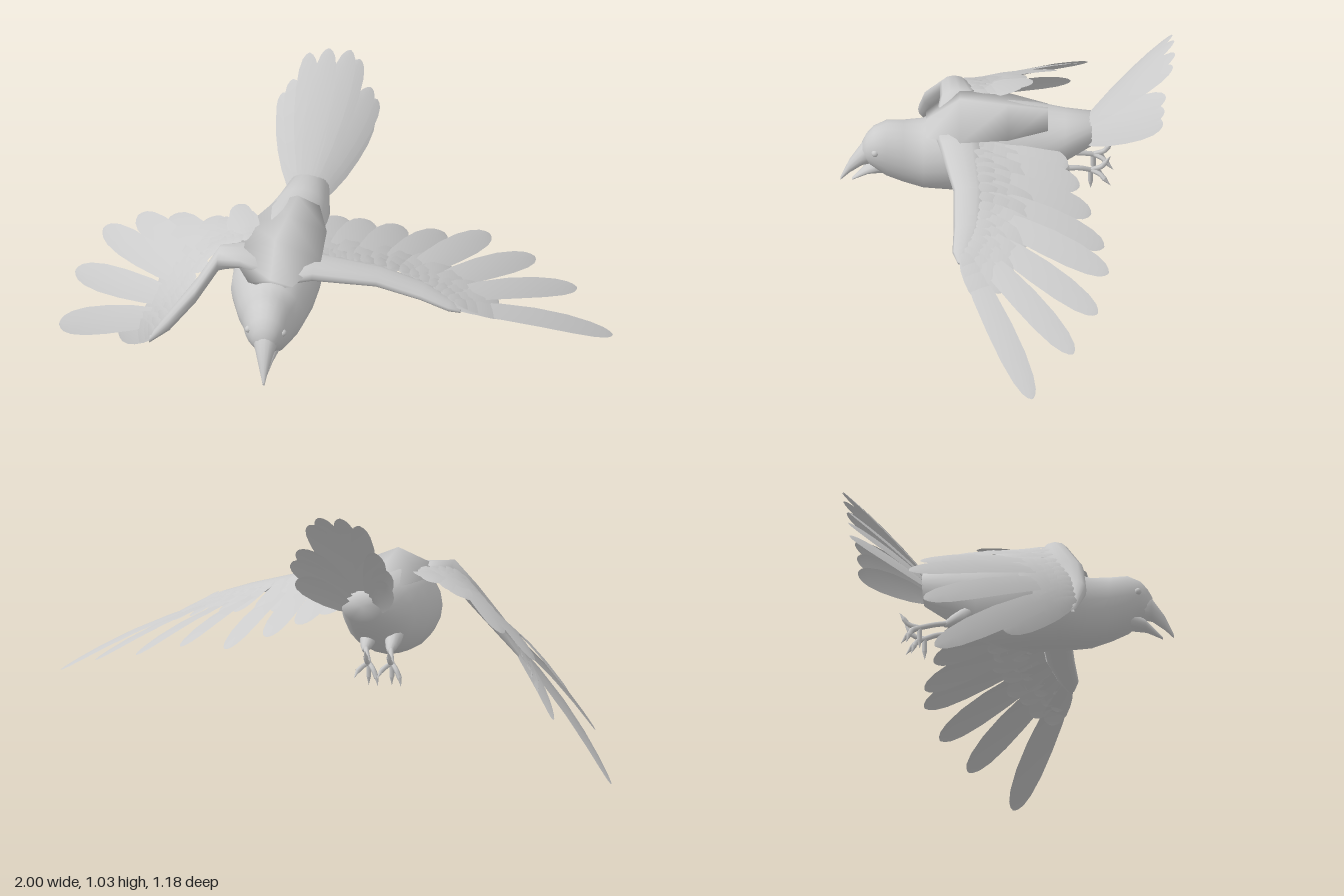
import * as THREE from 'three';

const mat = new THREE.MeshStandardMaterial({ color: 0xcccccc, side: THREE.DoubleSide });
const V = (a) => new THREE.Vector3(...a);

function surface(points, index) {
  const g = new THREE.BufferGeometry();
  g.setAttribute('position', new THREE.Float32BufferAttribute(points, 3));
  g.setIndex(index);
  g.computeVertexNormals();
  return g;
}

function add(parent, name, geometry) {
  const m = new THREE.Mesh(geometry, mat);
  m.name = name;
  parent.add(m);
  return m;
}

// Closed skin over elliptical sections [x, y, z, radiusU, radiusV]
function loft(sections, u, v, sides = 16) {
  const pts = [], idx = [];
  sections.forEach(([x, y, z, ru, rv], i) => {
    for (let j = 0; j < sides; j++) {
      const a = (j / sides) * Math.PI * 2;
      const p = V([x, y, z]).addScaledVector(u, ru * Math.cos(a)).addScaledVector(v, rv * Math.sin(a));
      pts.push(p.x, p.y, p.z);
      if (i) {
        const k = (j + 1) % sides, b = i * sides, c = b - sides;
        idx.push(c + j, c + k, b + j, c + k, b + k, b + j);
      }
    }
  });
  // End caps
  [0, sections.length - 1].forEach((s, e) => {
    const centre = pts.length / 3;
    pts.push(...sections[s].slice(0, 3));
    for (let j = 0; j < sides; j++) {
      const a = s * sides + j, b = s * sides + (j + 1) % sides;
      idx.push(centre, e ? a : b, e ? b : a);
    }
  });
  return surface(pts, idx);
}

// Thin blade with a raised shaft, rounded tip and gentle bow
const STATIONS = [[0, 0.35], [0.1, 0.6], [0.3, 0.88], [0.52, 1], [0.72, 0.98], [0.87, 0.8], [0.95, 0.55], [0.985, 0.3], [1, 0.06]];
function feather(base, tip, width, normal, bow = 0.03) {
  const dir = tip.clone().sub(base), len = dir.length();
  const side = dir.clone().cross(normal).normalize();
  const up = side.clone().cross(dir).normalize();
  const pts = [], idx = [];
  STATIONS.forEach(([t, f], i) => {
    for (const s of [-1, 0, 1]) {
      const p = base.clone().addScaledVector(dir, t).addScaledVector(side, (s * f * width) / 2)
        .addScaledVector(up, len * bow * Math.sin(Math.PI * t) + (s ? 0 : width * 0.05 * f));
      pts.push(p.x, p.y, p.z);
    }
    if (i) for (const k of [0, 1]) {
      const b = i * 3 + k, c = b - 3;
      idx.push(c, c + 1, b, c + 1, b + 1, b);
    }
  });
  return surface(pts, idx);
}

const X = V([1, 0, 0]), Y = V([0, 1, 0]), Z = V([0, 0, 1]);

// Wing: arm skin, long flight feathers and overlapping rows of coverts
function wing(name, { arm, roots, tips, inner, outer, widths }) {
  const g = new THREE.Group();
  g.name = name;
  add(g, 'wingArm', loft(arm, Y, Z, 12));
  const rootCurve = new THREE.CatmullRomCurve3(roots.map(V));
  const tipCurve = new THREE.CatmullRomCurve3(tips.map(V));
  const normalAt = (t) => V(inner).lerp(V(outer), t).normalize();

  tips.forEach((tip, i) => {
    const t = i / (tips.length - 1), n = normalAt(t);
    const base = rootCurve.getPoint(t).addScaledVector(n, -0.004 * (i % 2));
    add(g, 'flightFeather', feather(base, V(tip), widths[0] + (widths[1] - widths[0]) * t, n));
  });

  for (const [count, length, width, lift] of [[12, 0.22, 0.085, 0.01], [14, 0.15, 0.065, 0.016], [16, 0.085, 0.05, 0.021]]) {
    for (let i = 0; i < count; i++) {
      const t = i / (count - 1), n = normalAt(t);
      const base = rootCurve.getPoint(t).addScaledVector(n, lift);
      const dir = tipCurve.getPoint(t).sub(base).normalize();
      const tip = base.clone().addScaledVector(dir, length * (i % 2 ? 0.92 : 1)).addScaledVector(n, -lift * 0.4);
      add(g, 'covertFeather', feather(base, tip, width, n, 0.03));
    }
  }
  return g;
}

// Leg with three forward toes, one hind toe and curved claws
function leg(name, x, foot) {
  const g = new THREE.Group();
  g.name = name;
  add(g, 'thigh', loft([[x, 0.455, -0.215, 0.01, 0.01], [x, 0.465, -0.19, 0.02, 0.022],
    [x, 0.485, -0.14, 0.032, 0.034], [x, 0.52, -0.06, 0.035, 0.035]], X, Y, 10));
  const tube = (pts, r) => new THREE.TubeGeometry(new THREE.CatmullRomCurve3(pts.map(V)), 6, r, 6);
  add(g, 'shank', tube([[x, 0.46, -0.19], [(x + foot[0]) / 2, 0.45, -0.25], foot], 0.01));
  for (const [dx, dy, dz] of [[-0.035, -0.045, -0.035], [0, -0.05, 0], [0.03, -0.02, -0.05], [0, 0.035, -0.055]]) {
    const end = [foot[0] + dx, foot[1] + dy, foot[2] + dz];
    add(g, 'toe', tube([foot, [foot[0] + dx * 0.6, foot[1] + dy * 0.4, foot[2] + dz * 0.7], end], 0.009));
    const claw = add(g, 'claw', new THREE.ConeGeometry(0.009, 0.035, 6));
    const d = V([dx * 0.3, dy, dz * 0.4]).normalize();
    claw.position.copy(V(end)).addScaledVector(d, 0.014);
    claw.quaternion.setFromUnitVectors(Y, d);
  }
  return g;
}

export function createModel() {
  const bird = new THREE.Group();
  bird.name = 'bird';

  // Head, chest and rump in one skin
  add(bird, 'body', loft([
    [-0.125, 0.633, -0.295, 0.072, 0.057], [-0.135, 0.598, -0.2, 0.1, 0.093],
    [-0.15, 0.563, -0.1, 0.128, 0.137], [-0.16, 0.545, 0, 0.148, 0.16],
    [-0.168, 0.535, 0.1, 0.157, 0.166], [-0.168, 0.521, 0.2, 0.15, 0.153],
    [-0.158, 0.502, 0.3, 0.118, 0.126], [-0.15, 0.517, 0.37, 0.096, 0.117],
    [-0.145, 0.534, 0.43, 0.084, 0.106], [-0.143, 0.542, 0.475, 0.066, 0.077],
    [-0.142, 0.537, 0.5, 0.046, 0.053], [-0.141, 0.53, 0.515, 0.025, 0.032]], X, Y, 20));
  // Ridged back with overhanging shoulder edges
  add(bird, 'mantle', loft([
    [-0.14, 0.67, -0.14, 0.08, 0.035], [-0.15, 0.665, 0, 0.14, 0.052],
    [-0.165, 0.662, 0.17, 0.165, 0.07], [-0.16, 0.625, 0.29, 0.08, 0.02]], X, Y, 4));

  // Open beak
  add(bird, 'upperBeak', loft([
    [-0.145, 0.532, 0.47, 0.054, 0.05], [-0.14, 0.512, 0.515, 0.036, 0.043],
    [-0.135, 0.462, 0.56, 0.018, 0.027], [-0.13, 0.412, 0.591, 0.004, 0.007]], X, Y, 12));
  add(bird, 'lowerBeak', loft([
    [-0.145, 0.48, 0.43, 0.055, 0.04], [-0.14, 0.45, 0.495, 0.028, 0.021],
    [-0.135, 0.404, 0.552, 0.004, 0.004]], X, Y, 12));
  for (const s of [-1, 1]) {
    const eye = add(bird, 'eye', new THREE.SphereGeometry(0.013, 12, 8));
    eye.position.set(-0.144 + s * 0.062, 0.556, 0.47);
  }

  // Left wing stretched out, right wing drooping
  bird.add(wing('leftWing', {
    arm: [[-0.14, 0.62, 0.17, 0.045, 0.1], [-0.02, 0.635, 0.17, 0.03, 0.075], [0.2, 0.6, 0.14, 0.022, 0.055],
      [0.36, 0.56, 0.145, 0.018, 0.05], [0.46, 0.527, 0.165, 0.014, 0.035], [0.5, 0.51, 0.17, 0.006, 0.012]],
    roots: [[-0.06, 0.635, 0.13], [0.1, 0.62, 0.11], [0.25, 0.59, 0.1], [0.38, 0.55, 0.12], [0.47, 0.52, 0.16]],
    tips: [[0.02, 0.575, -0.21], [0.1, 0.545, -0.25], [0.21, 0.505, -0.29], [0.35, 0.465, -0.335],
      [0.51, 0.47, -0.35], [0.68, 0.42, -0.31], [0.845, 0.37, -0.225], [1, 0.288, -0.08]],
    inner: [0.2, 0.95, 0.2], outer: [0.42, 0.9, 0], widths: [0.125, 0.095],
  }));
  bird.add(wing('rightWing', {
    arm: [[-0.16, 0.63, 0.17, 0.045, 0.09], [-0.28, 0.655, 0.17, 0.03, 0.07], [-0.36, 0.645, 0.19, 0.045, 0.05],
      [-0.43, 0.54, 0.25, 0.045, 0.05], [-0.52, 0.42, 0.285, 0.04, 0.032], [-0.595, 0.32, 0.275, 0.014, 0.014]],
    roots: [[-0.27, 0.66, 0.12], [-0.36, 0.65, 0.15], [-0.43, 0.56, 0.2], [-0.49, 0.465, 0.25], [-0.57, 0.355, 0.27]],
    tips: [[-0.33, 0.68, -0.05], [-0.45, 0.62, -0.06], [-0.6, 0.53, -0.17], [-0.73, 0.46, -0.25],
      [-0.86, 0.365, -0.28], [-0.95, 0.21, -0.22], [-1, 0.002, -0.175], [-0.75, 0.17, 0.045]],
    inner: [-0.2, 0.95, 0], outer: [-0.65, 0.35, 0.65], widths: [0.115, 0.1],
  }));

  // Raised tail fan
  const tail = new THREE.Group();
  tail.name = 'tail';
  const tailTips = [[-0.265, 0.79, -0.545], [-0.265, 0.84, -0.55], [-0.23, 0.9, -0.555], [-0.175, 1.005, -0.58],
    [-0.105, 1.03, -0.585], [-0.03, 1.03, -0.588], [0.005, 1, -0.58], [0.05, 0.9, -0.555], [0.072, 0.855, -0.55], [0.055, 0.79, -0.545]];
  tailTips.forEach((tip, i) => {
    const s = (i / (tailTips.length - 1)) * 2 - 1;
    const base = V([-0.125 + s * 0.05, 0.665 - s * s * 0.05, -0.27]);
    add(tail, 'tailFeather', feather(base, V(tip), 0.09, V([s * 0.6, 0.65, 0.72]), 0.015));
  });
  bird.add(tail);

  bird.add(leg('rightLeg', -0.21, [-0.235, 0.435, -0.3]), leg('leftLeg', -0.12, [-0.15, 0.43, -0.29]));
  return bird;
}
